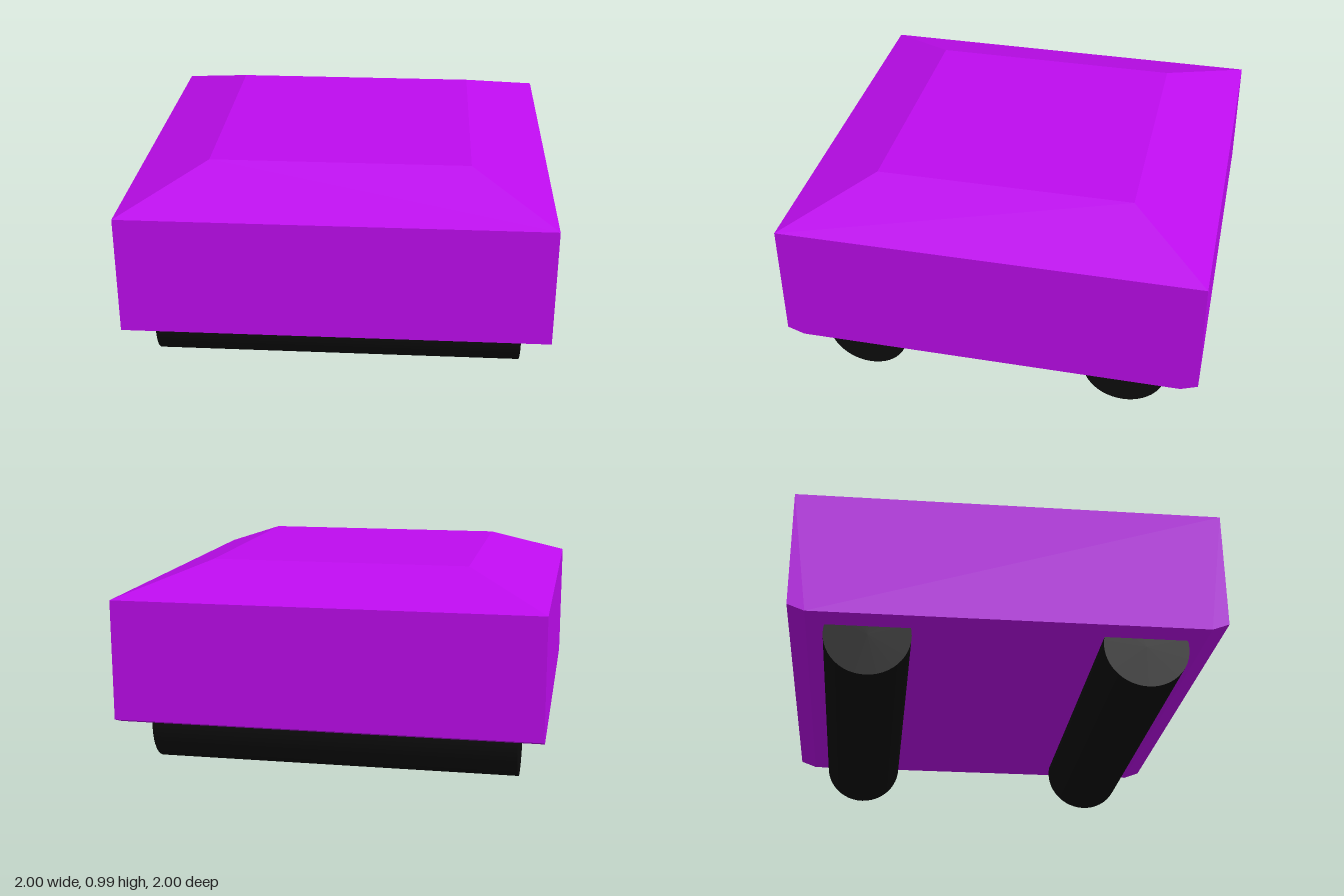
import * as THREE from 'three';
import { ConvexGeometry } from 'three/addons/geometries/ConvexGeometry.js';

export function createModel() {
  const model = new THREE.Group();
  model.name = 'cart';
  const paint = new THREE.MeshStandardMaterial({ color: 0xbe0cee, flatShading: true });
  const rubber = new THREE.MeshStandardMaterial({ color: 0x0d0d0d });

  // Body: rectangular levels [y, half width, half depth], from chamfered floor to sloped roof
  const levels = [
    [0.24, 1, 0.92],
    [0.27, 1, 1],
    [0.84, 1, 1],
    [0.985, 0.615, 0.615],
  ];
  const corners = [];
  for (const [y, w, d] of levels) {
    for (const sx of [-1, 1]) {
      for (const sz of [-1, 1]) corners.push(new THREE.Vector3(sx * w, y, sz * d));
    }
  }
  const body = new THREE.Mesh(new ConvexGeometry(corners), paint);
  body.name = 'body';
  model.add(body);

  // Rollers: full-width wheels partly sunk into the body
  const rollerGeometry = new THREE.CylinderGeometry(0.2, 0.2, 1.75, 48).rotateZ(Math.PI / 2);
  for (const [name, z] of [['frontRoller', 0.64], ['backRoller', -0.64]]) {
    const roller = new THREE.Mesh(rollerGeometry, rubber);
    roller.name = name;
    roller.position.set(0, 0.2, z);
    model.add(roller);
  }
  return model;
}
